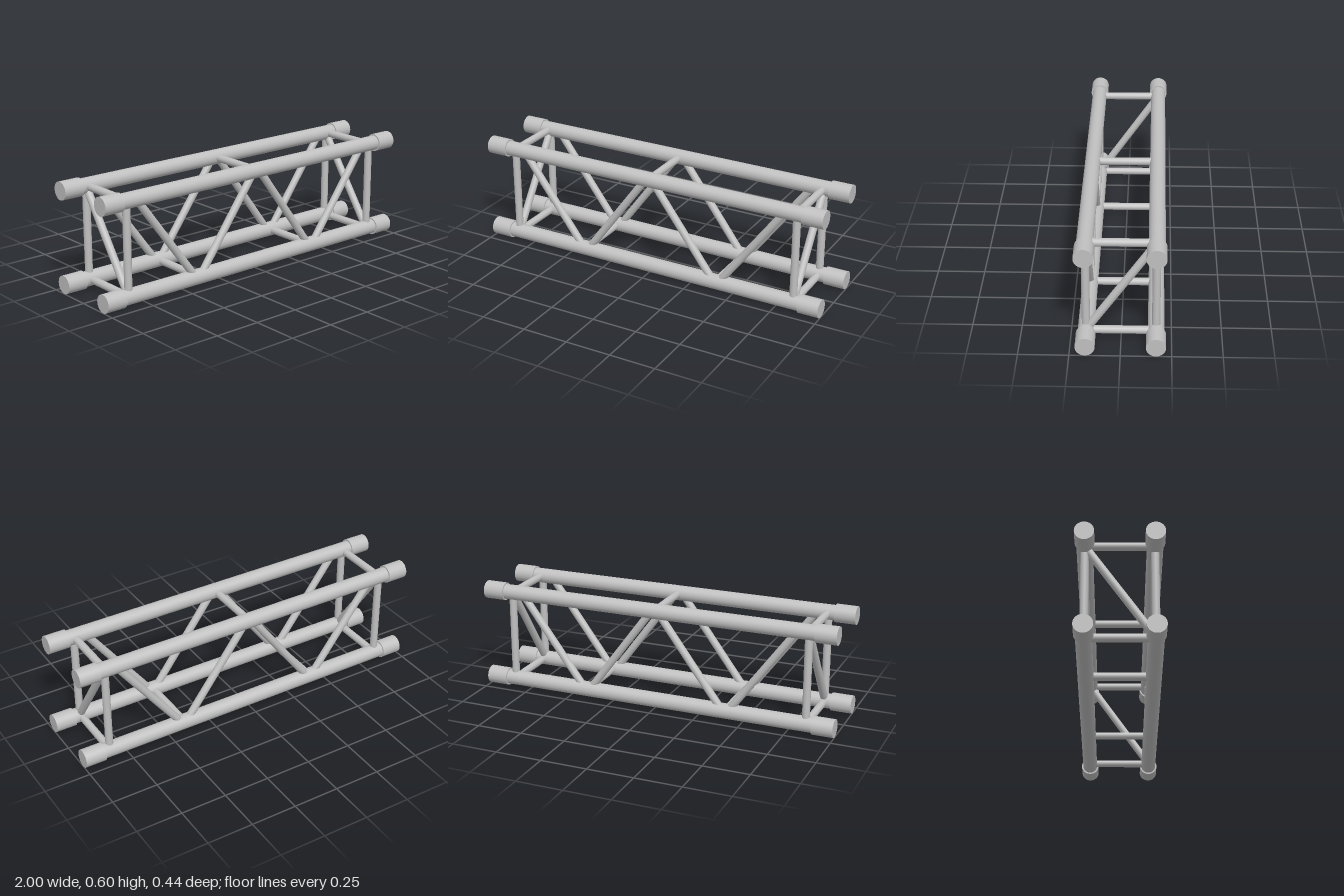
import * as THREE from 'three';

const LOW = 0.049, HIGH = 0.549, DEPTH = 0.173; // chord centre lines
const CHORD_R = 0.041, SLEEVE_R = 0.049, BRACE_R = 0.0205;
const END_X = 0.845, SLEEVE_LENGTH = 0.115;

export function createModel() {
  const model = new THREE.Group();
  model.name = 'boxTruss';
  const aluminium = new THREE.MeshStandardMaterial({ color: 0xc0c0c0 });
  aluminium.name = 'aluminium';

  // Round tube between two points
  function tube(name, from, to, radius, sides = 24) {
    const a = new THREE.Vector3(...from), b = new THREE.Vector3(...to);
    const dir = b.clone().sub(a);
    const mesh = new THREE.Mesh(
      new THREE.CylinderGeometry(radius, radius, dir.length(), sides), aluminium);
    mesh.position.copy(a).add(b).multiplyScalar(0.5);
    mesh.quaternion.setFromUnitVectors(new THREE.Vector3(0, 1, 0), dir.normalize());
    mesh.name = name;
    model.add(mesh);
  }

  const crossBar = (x, y) =>
    tube('crossBar', [x, y, -DEPTH], [x, y, DEPTH], BRACE_R);

  for (const z of [-DEPTH, DEPTH]) {
    // Long chords with a thicker coupling sleeve at each end
    for (const y of [LOW, HIGH]) {
      tube('chord', [-0.95, y, z], [0.95, y, z], CHORD_R, 48);
      for (const s of [-1, 1]) {
        tube('couplingSleeve', [s * (1 - SLEEVE_LENGTH), y, z], [s, y, z], SLEEVE_R, 48);
      }
    }
    // Side posts and zigzag braces
    for (const s of [-1, 1]) {
      tube('endPost', [s * END_X, LOW, z], [s * END_X, HIGH, z], BRACE_R);
      tube('outerBrace', [s * 0.787, HIGH, z], [s * 0.417, LOW, z], BRACE_R);
      tube('innerBrace', [s * 0.016, HIGH, z], [s * 0.386, LOW, z], BRACE_R);
    }
  }

  // Cross bars and end-frame diagonals
  crossBar(0, HIGH);
  for (const s of [-1, 1]) {
    crossBar(s * 0.402, LOW);
    crossBar(s * END_X, LOW);
    crossBar(s * END_X, HIGH);
    tube('endDiagonal', [s * END_X, LOW, DEPTH], [s * END_X, HIGH, -DEPTH], BRACE_R);
  }
  return model;
}
